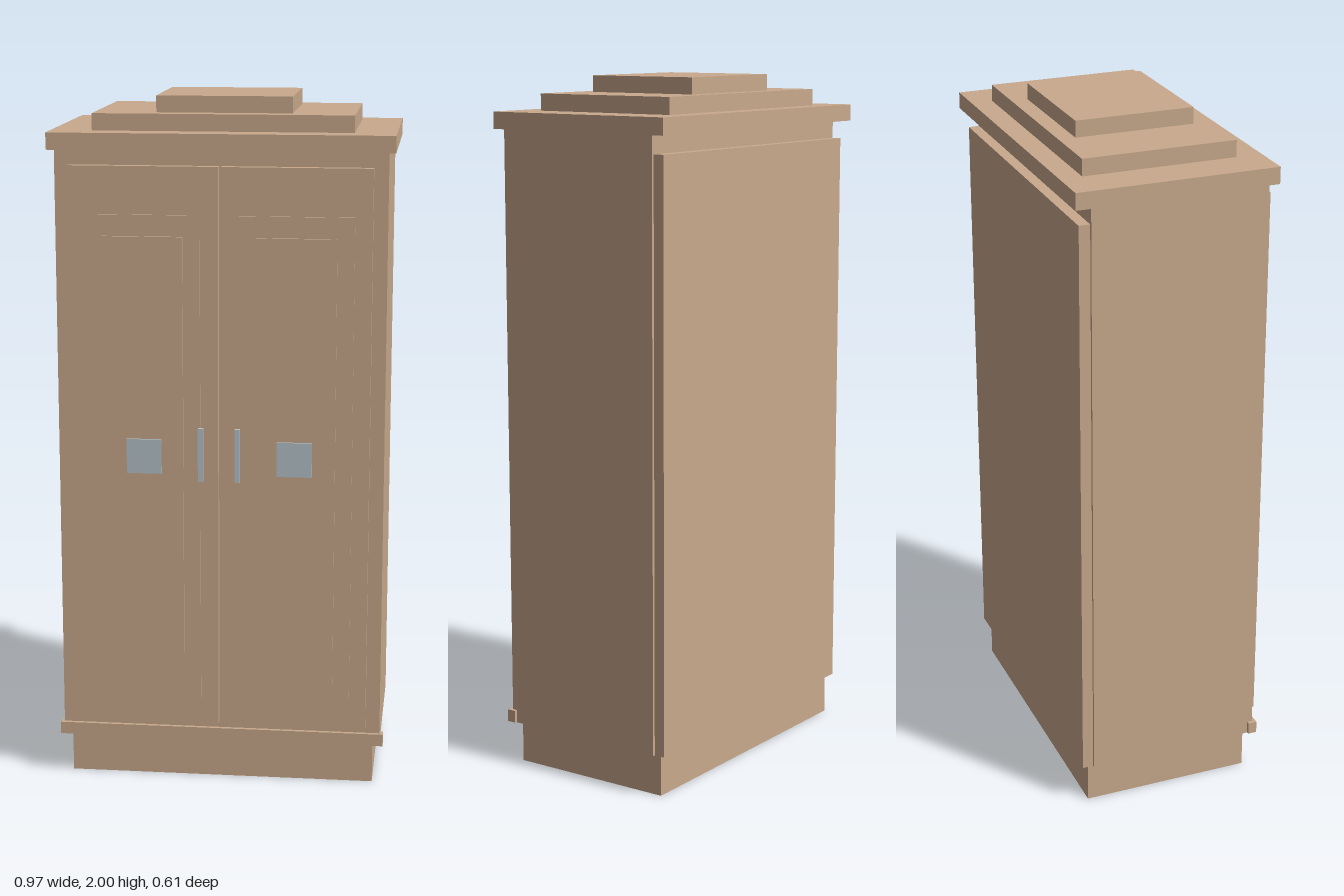
import * as THREE from 'three';

const wood = new THREE.MeshStandardMaterial({ color: 0xc8a98c });
wood.name = 'wood';
const metal = new THREE.MeshStandardMaterial({ color: 0xb6c3c9 });
metal.name = 'metal';

// Box given by its lower and upper limits on each axis
function box(parent, name, material, [x0, x1], [y0, y1], [z0, z1]) {
  const mesh = new THREE.Mesh(new THREE.BoxGeometry(x1 - x0, y1 - y0, z1 - z0), material);
  mesh.position.set((x0 + x1) / 2, (y0 + y1) / 2, (z0 + z1) / 2);
  mesh.name = name;
  parent.add(mesh);
  return mesh;
}

// One door with raised panels, plate and handle; side is +1 or -1
function makeDoor(side) {
  const door = new THREE.Group();
  door.name = side > 0 ? 'leftDoor' : 'rightDoor';
  const part = (name, material, [a, b], y, z) =>
    box(door, name, material, side > 0 ? [a, b] : [-b, -a], y, z);

  part('doorLeaf', wood, [0.004, 0.427], [0.18, 1.815], [0.255, 0.279]);
  part('outerPanel', wood, [0.055, 0.378], [0.26, 1.68], [0.279, 0.285]);
  part('innerPanel', wood, [0.103, 0.33], [0.32, 1.62], [0.285, 0.293]);
  part('plate', metal, [0.165, 0.265], [0.94, 1.04], [0.293, 0.299]);

  // Bar handle on two posts
  part('handleBar', metal, [0.045, 0.06], [0.92, 1.075], [0.289, 0.303]);
  for (const y of [0.945, 1.05])
    part('handlePost', metal, [0.048, 0.057], [y - 0.006, y + 0.006], [0.279, 0.289]);
  return door;
}

export function createModel() {
  const model = new THREE.Group();
  model.name = 'wardrobe';

  // Plinth, carcass and back
  box(model, 'plinth', wood, [-0.447, 0.447], [0, 0.122], [-0.265, 0.235]);
  box(model, 'carcass', wood, [-0.468, 0.468], [0.122, 1.857], [-0.253, 0.255]);
  box(model, 'backPanel', wood, [-0.46, 0.46], [0.122, 1.805], [-0.285, -0.253]);
  box(model, 'frontLedge', wood, [-0.478, 0.478], [0.124, 0.16], [0.24, 0.266]);

  // Stepped top
  box(model, 'cornice', wood, [-0.487, 0.487], [1.857, 1.905], [-0.303, 0.277]);
  box(model, 'middleTier', wood, [-0.369, 0.369], [1.905, 1.953], [-0.24, 0.202]);
  box(model, 'topTier', wood, [-0.193, 0.193], [1.953, 2], [-0.192, 0.152]);

  for (const side of [1, -1]) model.add(makeDoor(side));
  return model;
}
